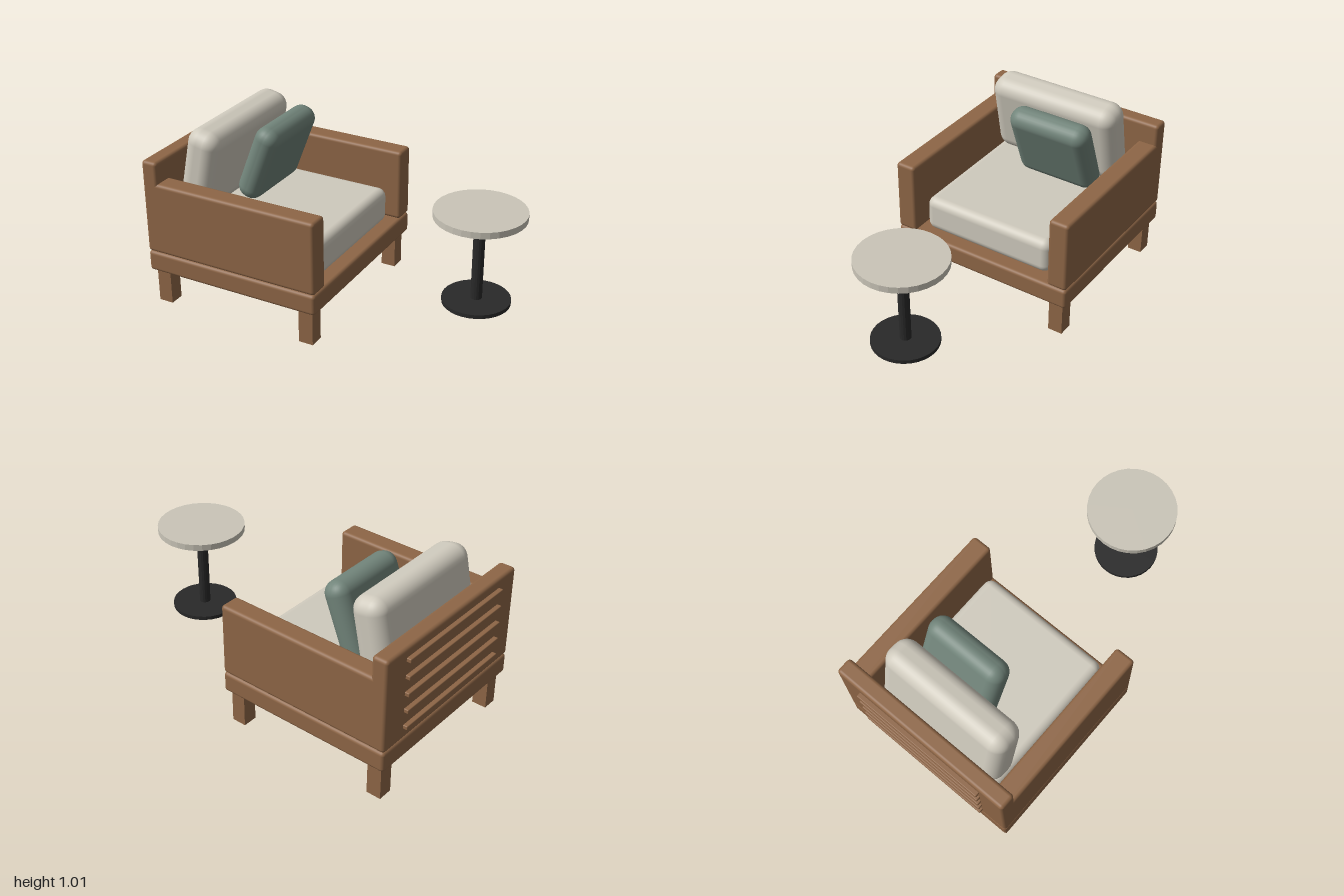
import * as THREE from 'three';
import { RoundedBoxGeometry } from 'three/addons/geometries/RoundedBoxGeometry.js';

const material = (name, color, flatShading = false) => {
  const m = new THREE.MeshStandardMaterial({ color, flatShading });
  m.name = name;
  return m;
};

export function createModel() {
  const wood = material('wood', 0x8e6646);
  const cream = material('creamFabric', 0xcfcabd);
  const green = material('greenFabric', 0x71847a);
  const black = material('blackMetal', 0x292929, true);
  const stone = material('tableTop', 0xcac5b8, true);

  const model = new THREE.Group();
  model.name = 'armchairAndSideTable';
  const chair = new THREE.Group();
  chair.name = 'armchair';
  const table = new THREE.Group();
  table.name = 'sideTable';
  model.add(chair, table);

  const add = (parent, name, geometry, mat, x, y, z) => {
    const mesh = new THREE.Mesh(geometry, mat);
    mesh.name = name;
    mesh.position.set(x, y, z);
    parent.add(mesh);
    return mesh;
  };
  const rounded = (w, h, d, r) => new RoundedBoxGeometry(w, h, d, 4, r);

  // Wooden frame
  add(chair, 'base', rounded(1.055, 0.12, 1.11, 0.02), wood, -0.447, 0.26, 0);
  add(chair, 'backrest', rounded(0.095, 0.545, 1.11, 0.02), wood, -0.927, 0.593, 0);
  for (const side of [-1, 1]) {
    add(chair, side > 0 ? 'leftArm' : 'rightArm',
      rounded(1.055, 0.42, 0.12, 0.02), wood, -0.447, 0.531, side * 0.495);
    for (const [name, x] of [['frontLeg', 0.008], ['backLeg', -0.902]]) {
      add(chair, name, new THREE.BoxGeometry(0.085, 0.2, 0.085), wood, x, 0.1, side * 0.482);
    }
  }

  // Slats on the outside of the backrest
  for (let i = 0; i < 5; i++) {
    add(chair, 'backSlat', rounded(0.04, 0.024, 0.805, 0.005), wood, -0.98, 0.4 + i * 0.1, 0);
  }

  // Cushions
  add(chair, 'seatCushion', rounded(0.9, 0.207, 0.81, 0.05), cream, -0.43, 0.427, 0);
  add(chair, 'backCushion', rounded(0.2, 0.483, 0.8, 0.08), cream, -0.742, 0.772, 0).rotation.z = -0.2;
  add(chair, 'throwPillow', rounded(0.15, 0.464, 0.495, 0.07), green, -0.53, 0.757, -0.1).rotation.z = -0.37;

  // Pedestal side table
  const disc = (r, h, sides) => new THREE.CylinderGeometry(r, r, h, sides);
  add(table, 'tableFoot', disc(0.185, 0.022, 32), black, 0.752, 0.211, 0);
  add(table, 'tablePost', disc(0.031, 0.49, 16), black, 0.752, 0.462, 0);
  add(table, 'tableTop', disc(0.247, 0.036, 32), stone, 0.752, 0.72, 0);

  return model;
}
